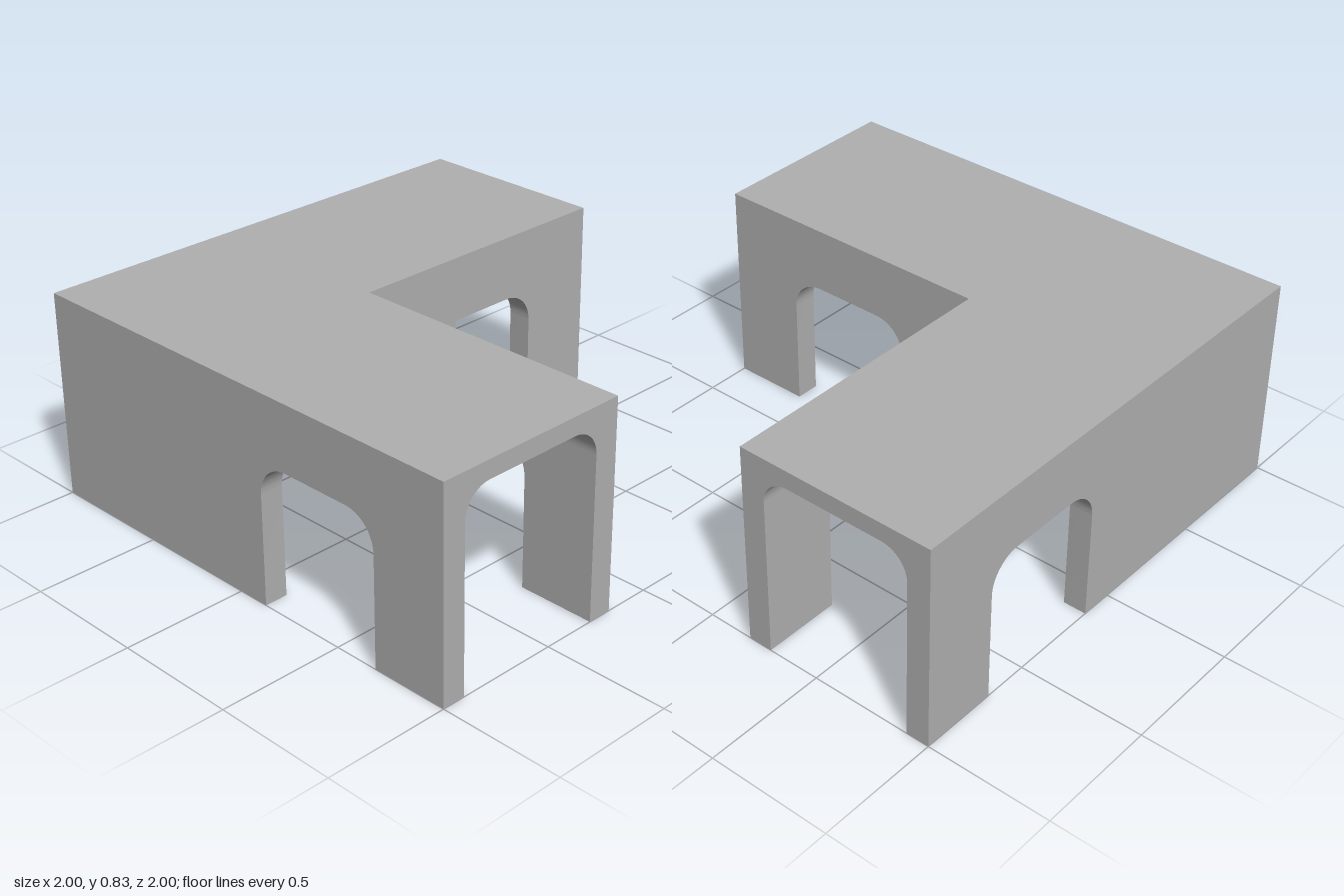
import * as THREE from 'three';
import { toCreasedNormals } from 'three/addons/utils/BufferGeometryUtils.js';

const HEIGHT = 0.834;
const SPRING = 0.652;                   // where the walls end and the vault starts
const OUT = 1, TUNNEL_OUT = 0.906, TUNNEL_IN = 0.286, IN = 0.187;
const ARCH = { left: 0.132, right: 0.684, top: 0.573, r: 0.13 };

// Adds a flat arch with two rounded shoulders to an outline
function archTo(shape, left, right, top, r) {
  shape.absarc(left + r, top - r, r, Math.PI, Math.PI / 2, true);
  shape.absarc(right - r, top - r, r, Math.PI / 2, 0, true);
}

// Upright wall from start to 1 along x, with an arched doorway
function wallGeometry(start, thickness, z) {
  const s = new THREE.Shape();
  s.moveTo(start, 0);
  s.lineTo(ARCH.left, 0);
  s.lineTo(ARCH.left, ARCH.top - ARCH.r);
  archTo(s, ARCH.left, ARCH.right, ARCH.top, ARCH.r);
  s.lineTo(ARCH.right, 0);
  s.lineTo(1, 0);
  s.lineTo(1, SPRING);
  s.lineTo(start, SPRING);
  s.closePath();
  const g = new THREE.ExtrudeGeometry(s, { depth: thickness, bevelEnabled: false, curveSegments: 12 });
  return toCreasedNormals(g.translate(0, 0, z), 0.6);
}

// Roof section: x is the distance from the inside of the bend
function roofProfile() {
  const s = new THREE.Shape();
  s.moveTo(OUT, SPRING);
  s.lineTo(OUT, HEIGHT);
  s.lineTo(IN, HEIGHT);
  s.lineTo(IN, SPRING);
  s.lineTo(TUNNEL_IN, SPRING);
  archTo(s, TUNNEL_IN, TUNNEL_OUT, SPRING + 0.11, 0.11);
  return s.getPoints(12);
}

// Sweeps the section along both legs, mitred at the corner
function roofGeometry(profile) {
  const stations = [
    p => [1, p.y, p.x],
    p => [-p.x, p.y, p.x],
    p => [-p.x, p.y, -1],
  ];
  const pos = [];
  for (let k = 0; k < 2; k++) {
    profile.forEach((a, i) => {
      const b = profile[(i + 1) % profile.length];
      const a0 = stations[k](a), b0 = stations[k](b);
      const a1 = stations[k + 1](a), b1 = stations[k + 1](b);
      pos.push(...a0, ...b0, ...b1, ...a0, ...b1, ...a1);
    });
  }
  const g = new THREE.BufferGeometry();
  g.setAttribute('position', new THREE.Float32BufferAttribute(pos, 3));
  return toCreasedNormals(g, 0.6);
}

export function createModel() {
  const group = new THREE.Group();
  group.name = 'cornerTunnel';
  const grey = new THREE.MeshStandardMaterial({ color: 0xb0b0b0 });
  grey.name = 'grey';
  const add = (name, geometry) => {
    const mesh = new THREE.Mesh(geometry, grey);
    mesh.name = name;
    group.add(mesh);
  };

  // Walls of the leg running along x
  add('frontOuterWall', wallGeometry(-OUT, OUT - TUNNEL_OUT, TUNNEL_OUT));
  add('frontInnerWall', wallGeometry(-IN, TUNNEL_IN - IN, IN));

  // Walls of the leg running back along z
  const quarter = Math.PI / 2;
  add('sideOuterWall', wallGeometry(-TUNNEL_OUT, OUT - TUNNEL_OUT, -OUT).rotateY(quarter));
  add('sideInnerWall', wallGeometry(-TUNNEL_IN, TUNNEL_IN - IN, -TUNNEL_IN).rotateY(quarter));

  // Vaulted roof and its two open ends
  const profile = roofProfile();
  add('roof', roofGeometry(profile));
  const mirrored = profile.map(p => new THREE.Vector2(-p.x, p.y));
  add('leftRoofEnd', new THREE.ShapeGeometry(new THREE.Shape(mirrored)).rotateY(quarter).translate(1, 0, 0));
  add('backRoofEnd', new THREE.ShapeGeometry(new THREE.Shape(profile)).rotateY(Math.PI).translate(0, 0, -1));

  return group;
}
